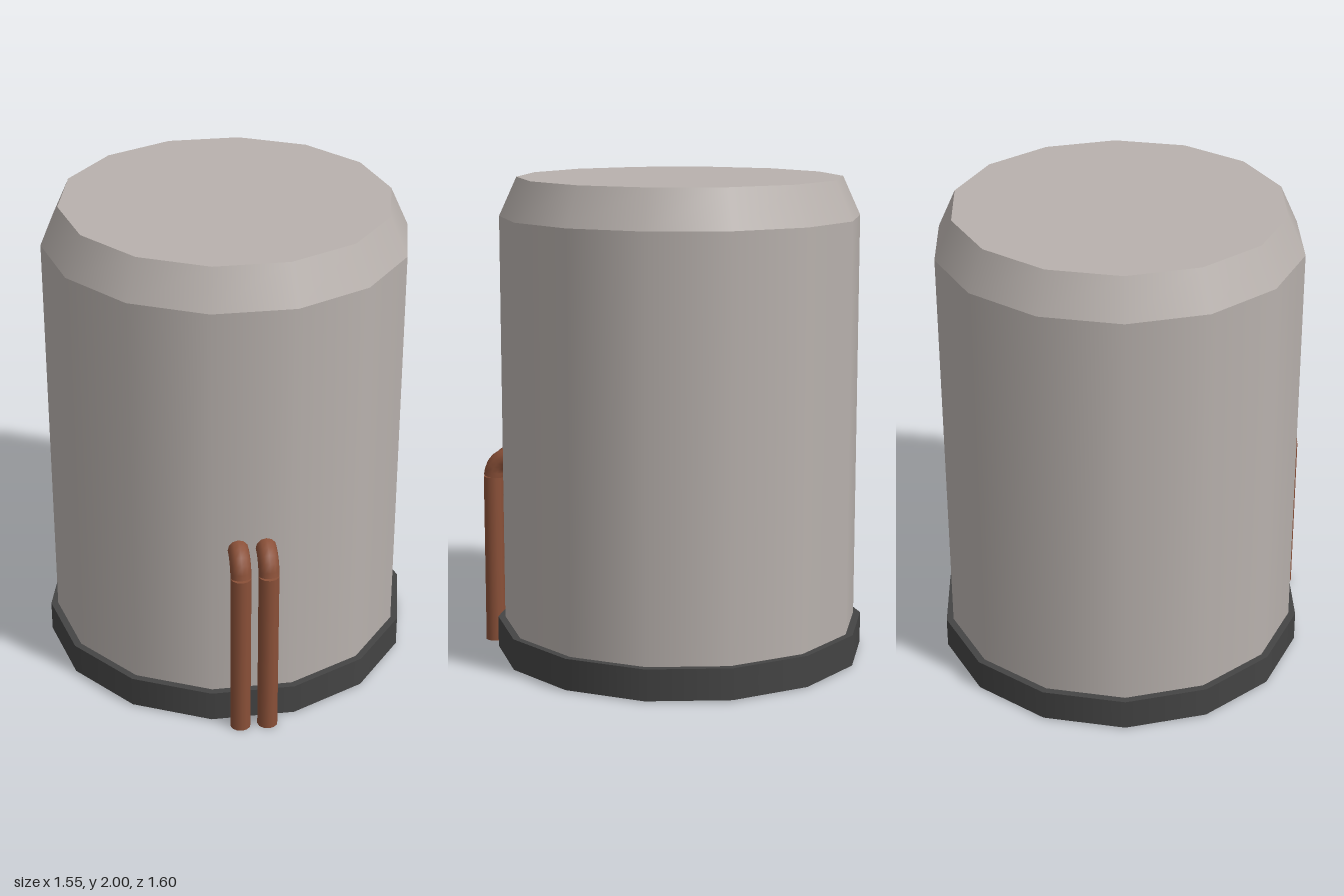
import * as THREE from 'three';

const SIDES = 14;
const CENTER_Z = -0.043;

export function createModel() {
  const model = new THREE.Group();
  const shell = new THREE.MeshStandardMaterial({ color: 0xb8b1ad });
  const dark = new THREE.MeshStandardMaterial({ color: 0x444444 });
  const copper = new THREE.MeshStandardMaterial({ color: 0x8a5038 });

  const add = (name, geometry, material, x, y, z, parent = model) => {
    const mesh = new THREE.Mesh(geometry, material);
    mesh.name = name;
    mesh.position.set(x, y, z);
    parent.add(mesh);
  };

  // Fourteen-sided drum section with a flat side facing the front
  const drum = (name, rTop, rBottom, y0, y1, material, open = false) => {
    const geometry = new THREE.CylinderGeometry(rTop, rBottom, y1 - y0, SIDES, 1, open, Math.PI / SIDES);
    add(name, geometry, material, 0, (y0 + y1) / 2, CENTER_Z);
  };
  drum('base', 0.775, 0.775, 0.005, 0.135, dark);
  drum('tankBody', 0.745, 0.745, 0.13, 1.84, shell, true);
  drum('tankShoulder', 0.672, 0.745, 1.84, 2, shell);

  // Two pipes rising at the front and bending back into the tank
  const radius = 0.042, pipeZ = 0.758, bendY = 0.72;
  const elbow = new THREE.CatmullRomCurve3([
    [bendY, pipeZ], [0.76, 0.748], [0.79, 0.722], [0.805, 0.685], [0.81, 0.62],
  ].map(([y, z]) => new THREE.Vector3(0, y, z)));
  [['rightPipe', -0.06], ['leftPipe', 0.052]].forEach(([name, x]) => {
    const pipe = new THREE.Group();
    pipe.name = name;
    add(name + 'Riser', new THREE.CylinderGeometry(radius, radius, bendY, 12), copper, x, bendY / 2, pipeZ, pipe);
    add(name + 'Elbow', new THREE.TubeGeometry(elbow, 8, radius, 12), copper, x, 0, 0, pipe);
    model.add(pipe);
  });

  return model;
}
